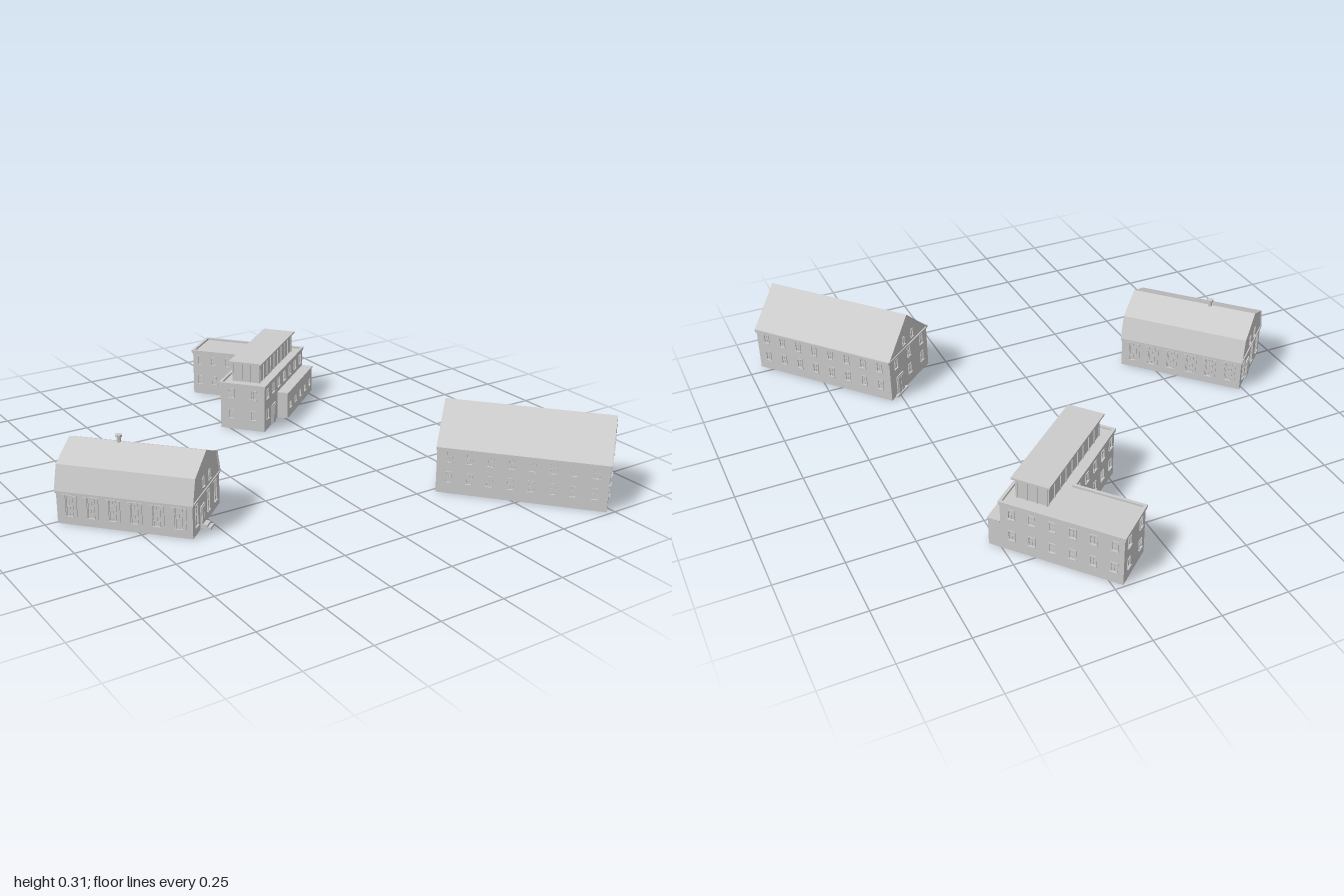
import * as THREE from 'three';
import { mergeGeometries } from 'three/addons/utils/BufferGeometryUtils.js';

const mat = new THREE.MeshStandardMaterial({ color: 0xcccccc, flatShading: true, side: THREE.DoubleSide });

function add(parent, name, geo, x = 0, y = 0, z = 0) {
  const m = new THREE.Mesh(geo, mat);
  m.name = name;
  m.position.set(x, y, z);
  parent.add(m);
  return m;
}

// Box given by its centre in x and z and its lower and upper heights
function box(parent, name, w, d, y0, y1, x = 0, z = 0) {
  return add(parent, name, new THREE.BoxGeometry(w, y1 - y0, d), x, (y0 + y1) / 2, z);
}

function place(parent, name, x, z, turn) {
  const g = new THREE.Group();
  g.name = name;
  g.position.set(x, 0, z);
  g.rotation.y = turn;
  parent.add(g);
  return g;
}

// Window type: pane set into the wall, surround, glazing bars and sill, facing +z
function windowType(w, h, bars = 1) {
  const t = 0.0028, parts = [];
  const bar = (bw, bh, d, x, y, z) => parts.push(new THREE.BoxGeometry(bw, bh, d).translate(x, y, z));
  bar(w, h, 0.001, 0, 0, -0.002);
  for (const s of [-1, 1]) {
    bar(t, h, 0.006, (s * w) / 2, 0, 0);
    bar(w + t, t, 0.006, 0, (s * h) / 2, 0);
  }
  bar(0.0015, h, 0.002, 0, 0, -0.001);
  for (let i = 1; i <= bars; i++) bar(w, 0.0015, 0.002, 0, -h / 2 + (h * i) / (bars + 1), -0.001);
  bar(w + 0.006, 0.003, 0.006, 0, -h / 2, 0.003);
  return { w, h, geo: mergeGeometries(parts) };
}

const vectors = (points) => points.map(([x, y]) => new THREE.Vector2(x, y));
const rect = (half, h) => [[-half, 0], [half, 0], [half, h], [-half, h]];
const spread = (n, a, b) => Array.from({ length: n }, (_, i) => a + ((b - a) * i) / (n - 1));

// Thin wall with real openings; x runs along it and z points outwards.
// Each opening row is [type, places along the wall, heights].
function wall(parent, name, x, z, turn, outline, rows = []) {
  const g = place(parent, name, x, z, turn);
  const shape = new THREE.Shape(vectors(outline));
  for (const [type, us, ys] of rows) {
    for (const u of us) for (const y of ys) {
      const hole = rect(type.w / 2, type.h).map(([hx, hy]) => [u + hx, y - type.h / 2 + hy]);
      shape.holes.push(new THREE.Path(vectors(hole)));
      add(g, 'window', type.geo, u, y, 0);
    }
  }
  add(g, 'wallFace', new THREE.ShapeGeometry(shape));
  return g;
}

function door(parent, u, w, h) {
  box(parent, 'doorFrame', w, 0.005, 0, h, u, 0.0025);
  for (const s of [-1, 1]) box(parent, 'doorLeaf', w * 0.38, 0.003, 0.003, h - 0.006, u + s * w * 0.21, 0.006);
}

// Roof shell over a half profile running from the eave to the ridge
function roof(parent, half, length, thick) {
  const left = half.map(([x, y]) => [-x, y]);
  const line = [...half, ...left.slice(0, -1).reverse()];
  const under = line.map(([x, y]) => [x * 0.99, y - thick]).reverse();
  const shape = new THREE.Shape(vectors([...line, ...under]));
  const geo = new THREE.ExtrudeGeometry(shape, { depth: length, bevelEnabled: false });
  add(parent, 'roof', geo.translate(0, 0, -length / 2));
}

function gabledHouse(root) {
  const g = place(root, 'gabledHouse', 0.633, 0.657, 0.711);
  const W = 0.148, L = 0.308;
  const win = windowType(0.021, 0.042), attic = windowType(0.015, 0.034);
  const gable = [[-W, 0], [W, 0], [W, 0.176], [0, 0.31], [-W, 0.176]];
  roof(g, [[0.155, 0.177], [0, 0.315]], 0.622, 0.005);
  for (const s of [-1, 1]) {
    wall(g, 'sideWall', s * W, 0, (s * Math.PI) / 2, rect(L, 0.176), [[win, spread(8, -0.262, 0.262), [0.065, 0.145]]]);
    box(g, 'eaveCornice', 0.008, 0.618, 0.168, 0.177, s * (W + 0.004), 0);
    box(g, 'gutter', 0.005, 0.618, 0.175, 0.182, s * 0.1555, 0);
    const rows = [[attic, [-0.033, 0.033], [0.213]], [win, [-0.1, 0, 0.1], [0.145]]];
    rows.push([win, s > 0 ? [-0.1, 0, 0.1] : [0, 0.1], [0.065]]);
    const end = wall(g, 'gableWall', 0, s * L, s > 0 ? 0 : Math.PI, gable, rows);
    box(end, 'gableBand', W * 2, 0.004, 0.174, 0.179, 0, 0.002);
    if (s < 0) {
      door(end, -0.08, 0.05, 0.085);
      box(end, 'doorStep', 0.08, 0.012, 0, 0.008, -0.08, 0.006);
    }
  }
}

function gambrelHall(root) {
  const g = place(root, 'gambrelHall', -0.676, 0.091, 0.743);
  const W = 0.149, L = 0.249;
  const tall = windowType(0.024, 0.08, 3), attic = windowType(0.016, 0.036);
  const gable = [[-W, 0], [W, 0], [W, 0.124], [0.122, 0.211], [0, 0.266], [-0.122, 0.211], [-W, 0.124]];
  roof(g, [[0.155, 0.125], [0.125, 0.215], [0, 0.27]], 0.507, 0.005);
  const bays = spread(6, -0.2, 0.2);
  for (const s of [-1, 1]) {
    const side = wall(g, 'sideWall', s * W, 0, (s * Math.PI) / 2, rect(L, 0.124), [[tall, bays, [0.072]]]);
    // Shutters either side of each tall window
    for (const u of bays) for (const k of [-1, 1]) box(side, 'shutter', 0.012, 0.004, 0.032, 0.112, u + k * 0.021, 0.002);
    box(g, 'eaveCornice', 0.007, 0.503, 0.117, 0.126, s * (W + 0.003), 0);
    const end = wall(g, 'gableWall', 0, s * L, s > 0 ? 0 : Math.PI, gable, [
      [tall, [-0.11, 0.02, 0.1], [0.072]],
      [attic, [-0.029, 0.037], [0.163]],
    ]);
    box(end, 'gableBand', W * 2, 0.004, 0.12, 0.127, 0, 0.002);
    door(end, -0.049, 0.04, 0.085);
    if (s > 0) {
      box(end, 'lowerStep', 0.036, 0.037, 0, 0.009, -0.049, 0.0185);
      box(end, 'upperStep', 0.036, 0.025, 0.009, 0.018, -0.049, 0.0125);
    }
  }
  // Chimney on the ridge
  add(g, 'chimney', new THREE.CylinderGeometry(0.009, 0.009, 0.045, 8), 0, 0.272, -0.067);
  add(g, 'chimneyCap', new THREE.CylinderGeometry(0.013, 0.013, 0.008, 8), 0, 0.291, -0.067);
}

function flatRoofedBlock(root) {
  const g = place(root, 'flatRoofedBlock', 0.238, -0.553, 0.695);
  const X = 0.265, Z = 0.095, back = -0.351, inner = 0.084, H = 0.19;

  // L-shaped roof plan, drawn as x and minus z and laid flat
  const ring = (k) => vectors([[-X - k, -Z - k], [X + k, -Z - k], [X + k, -back + k], [inner - k, -back + k], [inner - k, Z + k], [-X - k, Z + k]]);
  const roofLayer = (name, outer, y0, y1, holes) => {
    const shape = new THREE.Shape(ring(outer));
    shape.holes.push(...holes);
    const geo = new THREE.ExtrudeGeometry(shape, { depth: y1 - y0, bevelEnabled: false });
    add(g, name, geo.rotateX(-Math.PI / 2), 0, y0, 0);
  };
  roofLayer('flatRoof', 0.004, 0.186, 0.192, []);
  roofLayer('parapet', 0.005, 0.192, 0.2, [new THREE.Path(ring(-0.006))]);

  // Glazed storey with an overhanging slab
  box(g, 'topStorey', 0.43, 0.115, 0.192, 0.273);
  box(g, 'topStoreyRoof', 0.46, 0.14, 0.273, 0.28);
  for (const s of [-1, 1]) {
    for (const u of spread(10, -0.213, 0.213)) box(g, 'mullion', 0.004, 0.005, 0.192, 0.273, u, s * 0.0585);
    for (const v of spread(4, -0.055, 0.055)) box(g, 'mullion', 0.005, 0.004, 0.192, 0.273, s * 0.216, v);
  }

  const win = windowType(0.023, 0.038), small = windowType(0.017, 0.024);
  const ys = [0.065, 0.155];
  const front = wall(g, 'frontWall', 0, Z, 0, rect(X, H), [
    [win, spread(7, -0.228, 0.228), [0.155]],
    [win, [-0.228], [0.065]],
  ]);
  door(front, -0.152, 0.045, 0.085);
  wall(g, 'longEndWall', X, (Z + back) / 2, Math.PI / 2, rect((Z - back) / 2, H), [[win, spread(6, -0.18, 0.19), ys]]);
  wall(g, 'shortEndWall', -X, 0, -Math.PI / 2, rect(Z, H), [[win, [-0.048, 0.048], ys]]);
  wall(g, 'innerBackWall', (inner - X) / 2, -Z, Math.PI, rect((inner + X) / 2, H), [[win, spread(5, -0.14, 0.14), ys]]);
  wall(g, 'innerWingWall', inner, (back - Z) / 2, -Math.PI / 2, rect((-Z - back) / 2, H), [[win, spread(4, -0.095, 0.095), ys]]);
  wall(g, 'wingEndWall', (inner + X) / 2, back, Math.PI, rect((X - inner) / 2, H), [[win, [-0.05, 0.05], ys]]);

  // Low extension along the front
  const mid = 0.087, half = 0.178, depth = 0.045;
  wall(g, 'extensionFront', mid, Z + depth, 0, rect(half, 0.109), [[small, spread(5, -0.14, 0.14), [0.052]]]);
  for (const s of [-1, 1]) {
    wall(g, 'extensionEnd', mid + s * half, Z + depth / 2, (s * Math.PI) / 2, rect(depth / 2, 0.109));
  }
  box(g, 'extensionRoof', half * 2 + 0.005, depth + 0.003, 0.108, 0.115, mid, Z + depth / 2 + 0.0015);
}

export function createModel() {
  const root = new THREE.Group();
  root.name = 'buildingGroup';
  gabledHouse(root);
  gambrelHall(root);
  flatRoofedBlock(root);
  return root;
}
